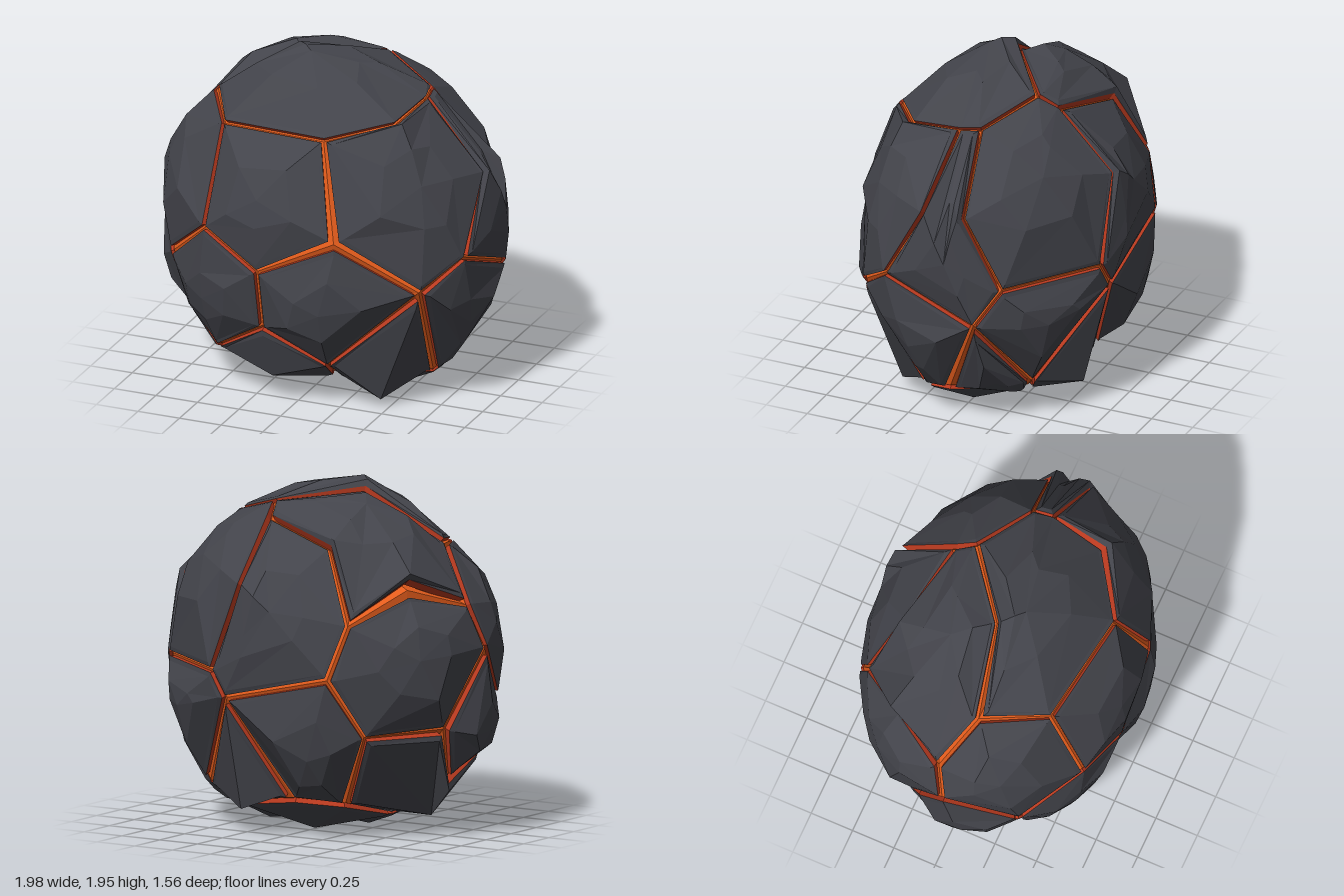
import * as THREE from 'three';

const MIDDLE = 0.97; // height of the rock's centre
const V = (x, y, z) => new THREE.Vector3(x, y - MIDDLE, z);

// Junctions where the glowing cracks meet
const J = {
  // crown
  ta: V(-0.67, 1.63, 0.11), tb: V(-0.19, 1.89, 0.01), tc: V(0.21, 1.84, -0.29), td: V(0.55, 1.74, -0.1),
  te: V(0.57, 1.73, 0.02), tf: V(0.52, 1.68, 0.34), tg: V(0.18, 1.61, 0.57), th: V(-0.47, 1.58, 0.47),
  // front
  fa: V(-0.5, 1.02, 0.68), fb: V(-0.15, 0.83, 0.75), fc: V(0.31, 1.06, 0.73), fd: V(0.75, 0.76, 0.53),
  fe: V(-0.15, 0.47, 0.67), ff: V(-0.48, 0.25, 0.52), fg: V(0.21, 0.26, 0.58), fh: V(-0.81, 0.73, 0.42),
  fi: V(-0.71, 0.42, 0.38),
  // +x side
  ra: V(0.91, 1.35, 0.08), rb: V(0.89, 1.35, -0.15), rc: V(0.93, 0.93, 0.32), rd: V(0.86, 0.93, -0.37),
  re: V(0.94, 0.71, -0.23), rf: V(0.71, 0.17, 0.02), rg: V(0.69, 0.15, 0.18), rh: V(0.57, 0.23, -0.42),
  // -x side
  la: V(-0.91, 1.32, -0.03), lb: V(-1, 1.07, 0.03), lc: V(-0.86, 0.62, -0.19), ld: V(-0.8, 0.33, -0.06),
  le: V(-0.73, 1.43, -0.36),
  // back
  ba: V(0.17, 1.76, -0.4), bb: V(-0.3, 1.64, -0.51), bc: V(-0.51, 1.24, -0.64), bd: V(-0.42, 0.93, -0.72),
  be: V(0.24, 0.78, -0.75), bf: V(0.34, 0.93, -0.74), bg: V(0.15, 1.41, -0.7), bh: V(-0.58, 0.6, -0.58),
  bi: V(-0.06, 0.2, -0.52), bj: V(-0.35, 0.18, -0.42),
  // underside
  ua: V(0.43, 0.12, -0.33), ub: V(0.02, 0.05, -0.04), uc: V(0.13, 0.07, 0.25), ud: V(-0.43, 0.1, -0.07),
  ue: V(-0.43, 0.15, 0.32),
};

// Half width of the crack at each junction, where it is not the usual one
const USUAL = 0.016;
const WIDTH = {
  fc: 0.032, le: 0.05, rg: 0.03, rf: 0.03, rh: 0.03, ua: 0.028, lb: 0.028, fh: 0.024, fd: 0.022, be: 0.018,
  bd: 0.02, bi: 0.028, bj: 0.028, lc: 0.026, ld: 0.02, fi: 0.02, uc: 0.026, la: 0.024, ta: 0.024, bc: 0.02,
  te: 0.012, td: 0.012, ra: 0.013, rb: 0.013,
};

// Each plate: its corner junctions, its peak, how far it rounds out between,
// and corners that are lifted into an overhanging lip
const PLATES = {
  crownPlate: { at: 'ta tb tc td te tf tg th', peak: V(-0.08, 1.94, 0.14), round: 0.7 },
  backCrownPlate: { at: 'ta tb tc ba bb bc le la', peak: V(-0.34, 1.85, -0.2) },
  frontLeftPlate: { at: 'tg tf te ra rc fd fc', lift: { ra: 1.04 } },
  leftPlate: { at: 'te td rb rd re rc ra', peak: V(1, 1.1, -0.08), round: 0.7 },
  backLeftPlate: { at: 'td tc ba bg bf rd rb', lift: { ba: 1.02, bg: 1.05 } },
  backPlate: { at: 'ba bb bc bd be bf bg' },
  backRightPlate: { at: 'bc le la lb lc bh bd' },
  frontRightPlate: { at: 'fa th ta la lb fh' },
  frontPlate: { at: 'fa fb fc tg th' },
  lowerFrontRightPlate: { at: 'fa fb fe ff fi fh' },
  lowerFrontLeftPlate: { at: 'fb fe fg fd fc' },
  lowerRightPlate: { at: 'lb fh fi ld lc' },
  footRightPlate: { at: 'lc ld fi ff ue ud bj bh', peak: V(-0.65, 0.11, -0.02), round: 0 },
  lowerBackPlate: { at: 'be bd bh bj bi' },
  lowerBackLeftPlate: { at: 'rd re rh be bf' },
  wedgeLeftPlate: { at: 're rf ua rh' },
  wedgeBackPlate: { at: 'be rh ua bi', peak: V(0.24, 0.14, -0.58), round: 0 },
  lowerLeftPlate: { at: 'fd rc re rf rg' },
  footLeftPlate: { at: 'fg fd rg uc', peak: V(0.46, 0.05, 0.42), round: 0 },
  footFrontPlate: { at: 'fe ff ue uc fg', peak: V(-0.13, 0.15, 0.56), round: 0 },
  undersideLeftPlate: { at: 'rf rg uc ub ua', peak: V(0.43, 0, 0), round: 0 },
  undersideBackPlate: { at: 'ua bi bj ud ub', peak: V(-0.05, 0.02, -0.28), round: 0 },
  undersideFrontPlate: { at: 'uc ub ud ue', peak: V(-0.14, 0, 0.13), round: 0 },
};

// Pushes a point out to the rounded body, which is squarer below the middle
function onBody(p) {
  const side = (p.x / 0.995) ** 2 + (p.z / 0.795) ** 2;
  const h = Math.abs(p.y) / 0.97, power = p.y < 0 ? 2.9 : 2;
  let s = 1;
  for (let i = 0; i < 12; i++) s *= (side * s * s + (h * s) ** power) ** -0.4;
  return p.clone().multiplyScalar(Math.max(s, 1.02));
}

// Moves the edges of a ring inwards, by its own distance at each corner
function inset(ring, n, widths, extra) {
  return ring.map((p, i) => {
    const a = ring[(i + ring.length - 1) % ring.length].clone().sub(p).normalize();
    const b = ring[(i + 1) % ring.length].clone().sub(p).normalize();
    const cross = b.clone().cross(a);
    const sign = cross.dot(n) < 0 ? -1 : 1;
    const k = (widths[i] + extra) * Math.min(1 / cross.length(), 3);
    return p.clone().addScaledVector(a.add(b), sign * k);
  });
}

const grow = (ring, s) => ring.map((p) => p.clone().multiplyScalar(s));
const mean = (ring) => ring.reduce((s, p) => s.add(p), new THREE.Vector3()).divideScalar(ring.length);

function band(out, lo, hi) {
  lo.forEach((p, i) => {
    const j = (i + 1) % lo.length;
    out.push(p, lo[j], hi[j], p, hi[j], hi[i]);
  });
}

function fan(out, ring, tip) {
  ring.forEach((p, i) => out.push(p, ring[(i + 1) % ring.length], tip));
}

function facets(points) {
  const g = new THREE.BufferGeometry().setFromPoints(points);
  g.computeVertexNormals(); // unshared corners keep the facets flat
  return g;
}

function facing(ring, mid) {
  const n = new THREE.Vector3();
  ring.forEach((p, i) => {
    const q = ring[(i + 1) % ring.length];
    n.add(p.clone().sub(mid).cross(q.clone().sub(mid)));
  });
  return n.normalize();
}

export function createModel() {
  const crust = new THREE.MeshStandardMaterial({ color: 0x43444b });
  crust.name = 'charcoal crust';
  const ember = new THREE.MeshStandardMaterial({ color: 0xb83a1f });
  ember.name = 'ember red';
  const glow = new THREE.MeshStandardMaterial({ color: 0xe35c1c });
  glow.name = 'molten orange';

  const rock = new THREE.Group();
  rock.name = 'crackedRock';
  rock.position.y = MIDDLE;
  const core = [];

  for (const [name, { at, peak, round = 0.9, lift = {} }] of Object.entries(PLATES)) {
    const keys = at.split(' ');
    const mid = mean(keys.map((k) => J[k]));
    if (facing(keys.map((k) => J[k]), mid).dot(mid) < 0) keys.reverse();
    const ring = keys.map((k) => J[k]);
    const normal = facing(ring, mid);
    const widths = keys.map((k) => WIDTH[k] ?? USUAL);
    const raise = (points) => points.map((p, i) => p.multiplyScalar(lift[keys[i]] ?? 1));

    // molten floor under the plate
    fan(core, grow(ring, 0.972), mid.clone().multiplyScalar(0.95));

    // glowing walls, bevelled rim, faceted dome
    const edge = inset(ring, normal, widths, 0);
    const foot = grow(edge, 0.93);
    raise(edge);
    const rim = raise(grow(inset(ring, normal, widths, 0.025), 1.016));
    const tip = peak ?? onBody(mid);
    const dome = rim.map((p, i) => {
      const q = p.clone().lerp(tip, 0.5 + 0.08 * Math.sin(i * 2.4 + mid.x * 9));
      return q.lerp(onBody(q), round);
    });
    const walls = [], top = [];
    band(walls, foot, edge);
    band(top, edge, rim);
    band(top, rim, dome);
    fan(top, dome, tip);

    const geometry = facets([...walls, ...top]);
    geometry.addGroup(0, walls.length, 0);
    geometry.addGroup(walls.length, top.length, 1);
    const plate = new THREE.Mesh(geometry, [ember, crust]);
    plate.name = name;
    rock.add(plate);
  }

  const heart = new THREE.Mesh(facets(core), glow);
  heart.name = 'moltenCore';
  rock.add(heart);

  const model = new THREE.Group();
  model.name = 'lavaRock';
  model.add(rock);
  return model;
}
